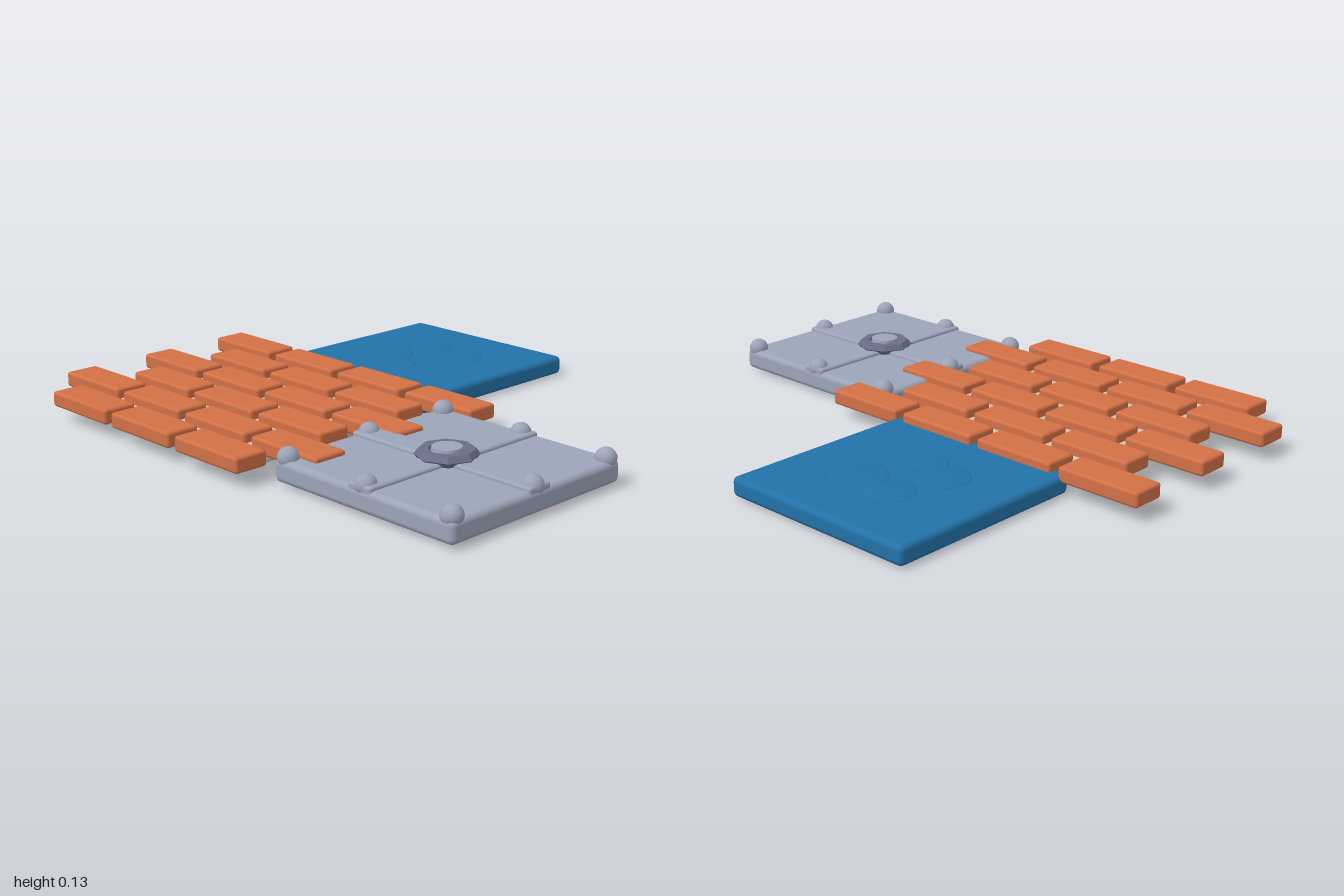
import * as THREE from 'three';
import { RoundedBoxGeometry } from 'three/addons/geometries/RoundedBoxGeometry.js';

function material(name, color) {
  const m = new THREE.MeshStandardMaterial({ color });
  m.name = name;
  return m;
}

export function createModel() {
  const brickRed = material('brick red', 0xd27046);
  const steel = material('steel grey', 0x9ca4b8);
  const darkSteel = material('dark steel', 0x686e88);
  const blue = material('water blue', 0x2272a8);
  const sand = material('mortar beige', 0xcfc4b2);

  const model = new THREE.Group();
  model.name = 'tileSet';

  function add(parent, name, geometry, mat, x, y, z) {
    const mesh = new THREE.Mesh(geometry, mat);
    mesh.name = name;
    mesh.position.set(x, y, z);
    parent.add(mesh);
    return mesh;
  }
  function group(name) {
    const g = new THREE.Group();
    g.name = name;
    model.add(g);
    return g;
  }

  const size = 0.765;

  // Brick wall: mortar slab with six staggered rows
  const wall = group('brickTile');
  add(wall, 'mortarSlab', new RoundedBoxGeometry(size, 0.07, size, 3, 0.02), sand, -0.318, 0.035, 0.362);
  const brick = new RoundedBoxGeometry(0.316, 0.055, 0.127, 2, 0.011);
  for (let row = 0; row < 6; row++) {
    const odd = row % 2;
    for (let i = 0; i < 4 - odd; i++) {
      add(wall, 'brick', brick, brickRed, -0.842 + 0.349 * (i + odd / 2), 0.078, -0.079 + 0.175 * row);
    }
  }

  // Water tile with low round ripples
  const water = group('waterTile');
  add(water, 'waterSlab', new RoundedBoxGeometry(size, 0.07, size, 3, 0.02), blue, -0.318, 0.038, -0.483);
  const dome = new THREE.SphereGeometry(1, 28, 6, 0, Math.PI * 2, 0, Math.PI / 2);
  for (const [x, z, r] of [[-0.39, -0.6, 0.085], [-0.22, -0.573, 0.1], [-0.425, -0.405, 0.098], [-0.31, -0.345, 0.07]]) {
    add(water, 'ripple', dome, blue, x, 0.0725, z).scale.set(r, 0.006, r);
  }

  // Steel hatch with crossed straps, rivets and a hub
  const hatch = group('steelTile');
  const cx = 0.612, cz = 0.362;
  add(hatch, 'steelSlab', new RoundedBoxGeometry(size, 0.077, size, 3, 0.02), steel, cx, 0.0505, cz);
  add(hatch, 'strapAcross', new RoundedBoxGeometry(0.76, 0.03, 0.097, 2, 0.01), steel, cx, 0.087, cz);
  add(hatch, 'strapAlong', new RoundedBoxGeometry(0.097, 0.03, 0.76, 2, 0.01), steel, cx, 0.0865, cz);
  const rivet = new THREE.SphereGeometry(0.036, 16, 12);
  for (const i of [-1, 0, 1]) {
    for (const j of [-1, 0, 1]) {
      if (i || j) add(hatch, 'rivet', rivet, steel, cx + 0.349 * i, 0.092, cz + 0.349 * j);
    }
  }
  const ring = new THREE.TorusGeometry(0.077, 0.028, 6, 8).rotateX(-Math.PI / 2).toNonIndexed();
  ring.scale(1, 0.75, 1);
  ring.computeVertexNormals();
  add(hatch, 'hubRing', ring, darkSteel, cx, 0.106, cz);
  add(hatch, 'hubCap', new THREE.CylinderGeometry(0.05, 0.056, 0.04, 12), steel, cx, 0.111, cz);

  return model;
}
